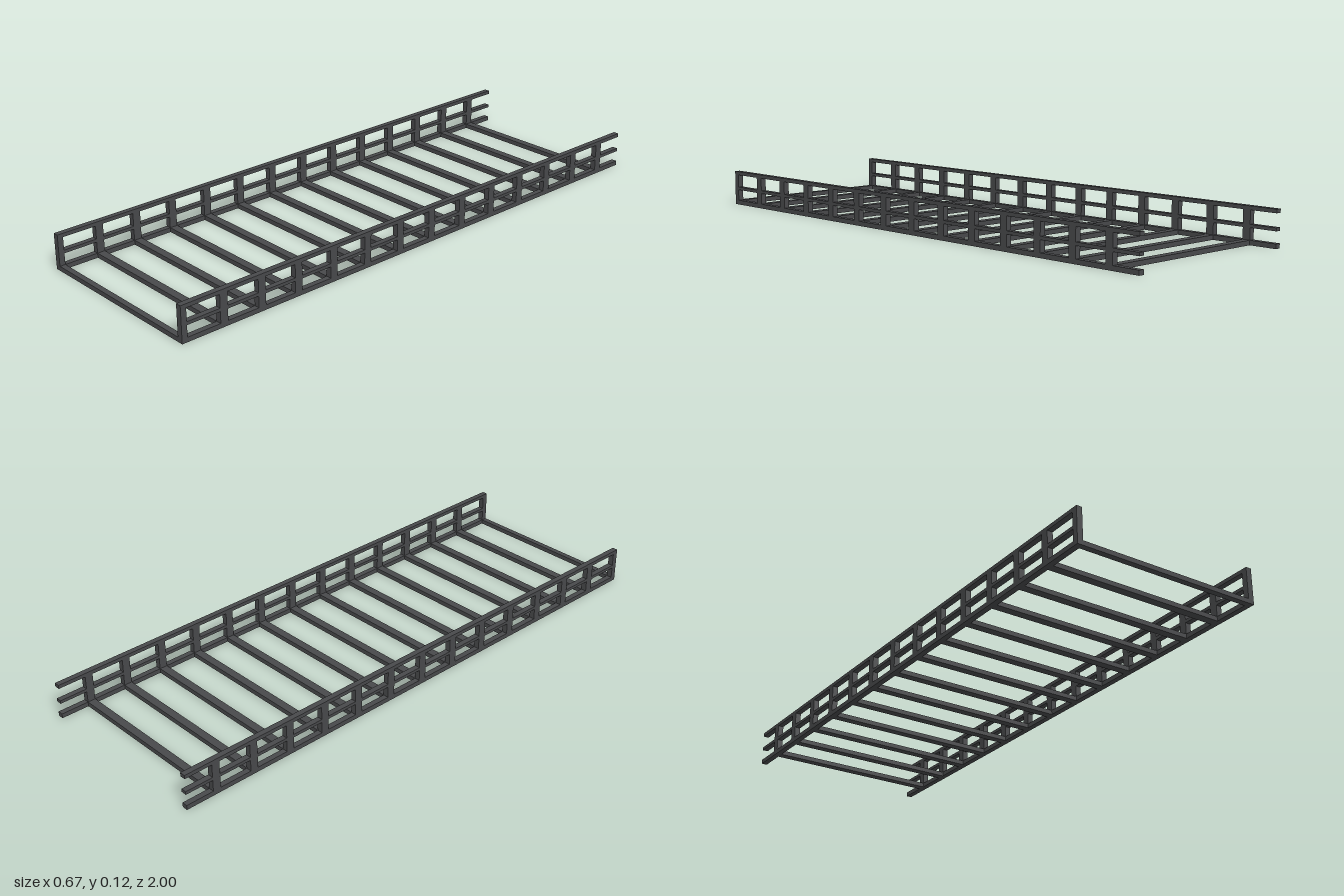
import * as THREE from 'three';

export function createModel() {
  const group = new THREE.Group();
  const material = new THREE.MeshStandardMaterial({ color: 0x48494b });

  // Box given by its size and centre
  const box = (name, w, h, d, x, y, z) => {
    const mesh = new THREE.Mesh(new THREE.BoxGeometry(w, h, d), material);
    mesh.name = name;
    mesh.position.set(x, y, z);
    group.add(mesh);
  };

  const halfWidth = 0.333, height = 0.125, bar = 0.02, railX = halfWidth - bar / 2;
  const bottomH = 0.016, topH = 0.013, midH = 0.011;
  const count = 13, pitch = 0.1443, firstZ = 0.845, barDepth = 0.028;
  const innerWidth = 2 * (halfWidth - bar);
  const postH = height - bottomH - topH, postY = bottomH + postH / 2;

  for (const [side, x] of [['left', railX], ['right', -railX]]) {
    // Long rails
    box(side + 'BottomRail', bar, bottomH, 2, x, bottomH / 2, 0);
    box(side + 'MiddleRail', bar, midH, 2, x, 0.061, 0);
    box(side + 'TopRail', bar, topH, 2, x, height - topH / 2, 0);

    // Uprights between the rails, with a slimmer one closing the front end
    box(side + 'EndPost', bar, postH, bar, x, postY, 1 - bar / 2);
    for (let i = 0; i < count; i++) {
      box(side + 'Post', bar, postH, barDepth, x, postY, firstZ - i * pitch);
    }
  }

  // Cross rungs; the back end stays open
  box('endRung', innerWidth, bottomH, bar, 0, bottomH / 2, 1 - bar / 2);
  for (let i = 0; i < count; i++) {
    box('rung', innerWidth, bottomH, barDepth, 0, bottomH / 2, firstZ - i * pitch);
  }
  return group;
}
